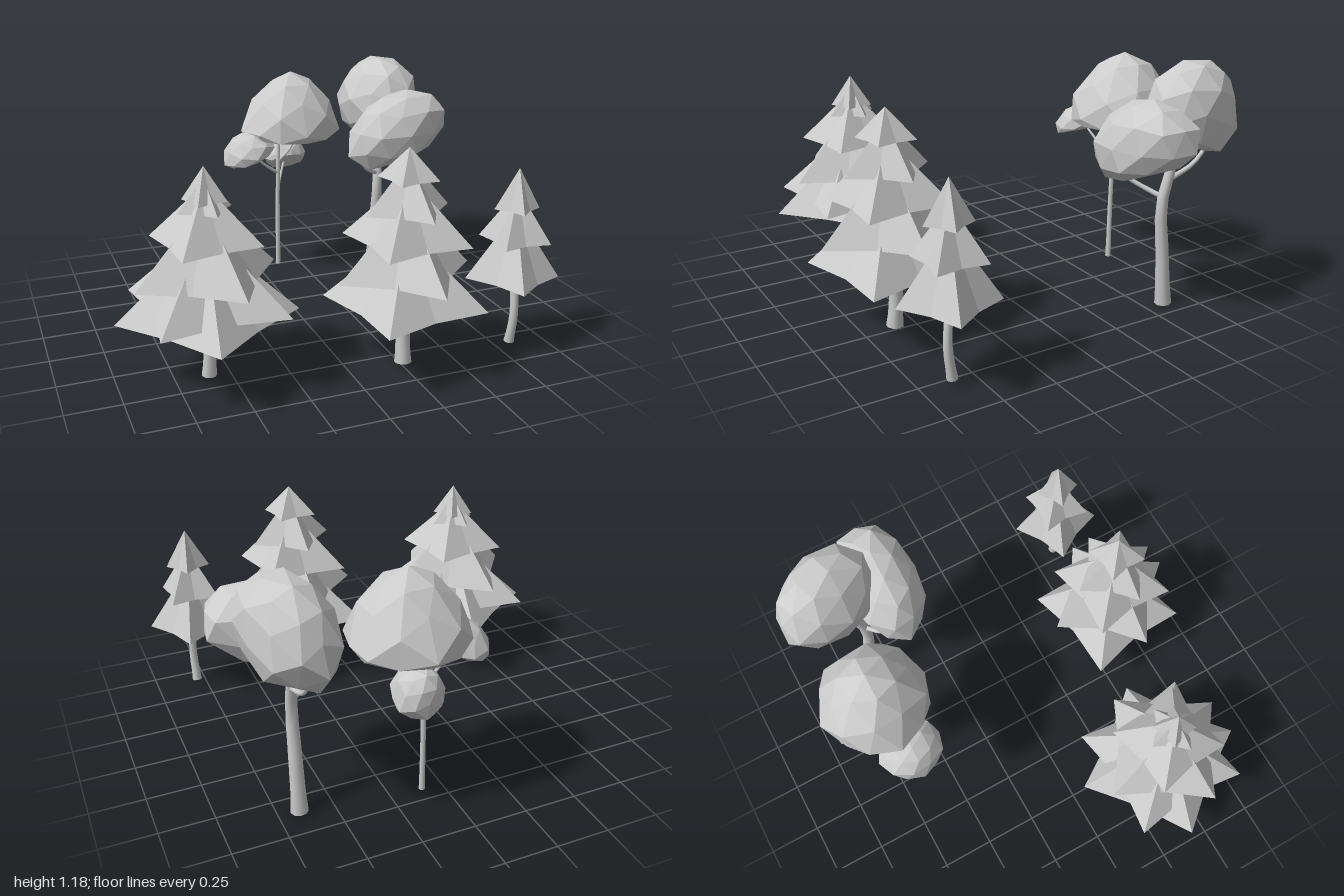
import * as THREE from 'three';

const flat = new THREE.MeshStandardMaterial({ color: 0xcccccc, flatShading: true });
const smooth = new THREE.MeshStandardMaterial({ color: 0xcccccc });
const V = (p) => new THREE.Vector3(...p);

function add(parent, geometry, material, name) {
  const mesh = new THREE.Mesh(geometry, material);
  mesh.name = name;
  parent.add(mesh);
  return mesh;
}

// Tapered, bent limb through a few points, with a cap on its base
function limb(parent, name, points, r0, r1, capped = true) {
  const curve = new THREE.CatmullRomCurve3(points.map(V));
  const rings = 8, sides = 9;
  const geo = new THREE.TubeGeometry(curve, rings, 1, sides, false);
  const pos = geo.attributes.position, v = new THREE.Vector3();
  for (let i = 0; i <= rings; i++) {
    const t = i / rings, c = curve.getPointAt(t);
    const flare = capped && i === 0 ? 1.12 : 1;
    const r = THREE.MathUtils.lerp(r0, r1, t) * flare;
    for (let j = 0; j <= sides; j++) {
      const k = i * (sides + 1) + j;
      v.fromBufferAttribute(pos, k).sub(c).multiplyScalar(r).add(c);
      pos.setXYZ(k, v.x, v.y, v.z);
    }
  }
  add(parent, geo, smooth, name);
  if (capped) {
    const cap = add(parent, new THREE.CircleGeometry(r0 * 1.12, sides), flat, name + 'Base');
    cap.position.copy(V(points[0]));
    cap.rotation.x = Math.PI / 2;
  }
}

// Four-tipped star cone with a flat base; phase in degrees from +x towards +z
function tier(parent, cx, cz, { y, top, r, phase, valley = 0.6 }) {
  const ring = Array.from({ length: 8 }, (_, i) => {
    const t = THREE.MathUtils.degToRad(phase + i * 45);
    const radius = i % 2 ? r * valley : r;
    return [cx + radius * Math.cos(t), y, cz + radius * Math.sin(t)];
  });
  const verts = [];
  ring.forEach((p, i) => {
    const q = ring[(i + 1) % ring.length];
    verts.push(cx, top, cz, ...q, ...p);
    verts.push(cx, y, cz, ...p, ...q);
  });
  const geo = new THREE.BufferGeometry();
  geo.setAttribute('position', new THREE.Float32BufferAttribute(verts, 3));
  geo.computeVertexNormals();
  add(parent, geo, flat, 'needleTier');
}

function pine(name, x, z, trunk, radius, tiers) {
  const g = new THREE.Group();
  g.name = name;
  limb(g, 'trunk', trunk, radius, radius * 0.75);
  tiers.forEach((t) => tier(g, x, z, t));
  return g;
}

// Faceted leaf clump: squashed ball, flattened below and narrowed towards the top
function clump(parent, name, center, radii, { tilt = [0, 0, 0], floor, peak }) {
  const geo = new THREE.IcosahedronGeometry(1, 1);
  const pos = geo.attributes.position;
  for (let i = 0; i < pos.count; i++) {
    const x = pos.getX(i), y = pos.getY(i), z = pos.getZ(i);
    const bump = 1 + 0.05 * Math.sin(5 * x + 3 * y + 4 * z);
    const width = bump * (1 - peak * Math.max(0, y) * 0.5);
    pos.setXYZ(i, x * width, Math.max(y, floor + 0.05 * y), z * width);
  }
  geo.scale(...radii);
  geo.computeVertexNormals();
  const mesh = add(parent, geo, flat, name);
  mesh.position.set(...center);
  mesh.rotation.set(...tilt);
}

export function createModel() {
  const model = new THREE.Group();
  model.name = 'treeGrove';

  // Wide pine
  model.add(pine('widePine', -0.6, 0.42,
    [[-0.605, 0.02, 0.42], [-0.598, 0.18, 0.42], [-0.61, 0.4, 0.42]], 0.031, [
      { y: 0.3, top: 0.68, r: 0.402, phase: 8, valley: 0.66 },
      { y: 0.36, top: 0.72, r: 0.4, phase: 43 },
      { y: 0.49, top: 0.83, r: 0.34, phase: -14, valley: 0.64 },
      { y: 0.65, top: 0.9, r: 0.26, phase: 36, valley: 0.64 },
      { y: 0.79, top: 0.93, r: 0.125, phase: -10 },
      { y: 0.83, top: 0.98, r: 0.1, phase: 30 },
    ]));

  // Tall pine
  model.add(pine('tallPine', 0.24, 0.62,
    [[0.25, 0.02, 0.61], [0.25, 0.18, 0.6], [0.245, 0.4, 0.63]], 0.036, [
      { y: 0.31, top: 0.66, r: 0.37, phase: 35.5, valley: 0.62 },
      { y: 0.46, top: 0.8, r: 0.327, phase: -5 },
      { y: 0.61, top: 0.9, r: 0.29, phase: 40 },
      { y: 0.75, top: 0.98, r: 0.208, phase: -6 },
      { y: 0.89, top: 1.03, r: 0.135, phase: 38 },
    ]));

  // Small pine
  model.add(pine('smallPine', 0.79, 0.62,
    [[0.8, 0.03, 0.62], [0.803, 0.18, 0.64], [0.795, 0.42, 0.62]], 0.022, [
      { y: 0.355, top: 0.68, r: 0.217, phase: 18, valley: 0.62 },
      { y: 0.54, top: 0.78, r: 0.165, phase: -45, valley: 0.58 },
      { y: 0.69, top: 0.88, r: 0.105, phase: 14 },
    ]));

  // Thick leafy tree
  const thick = new THREE.Group();
  thick.name = 'thickLeafyTree';
  limb(thick, 'trunk', [[0.655, 0, -0.605], [0.655, 0.28, -0.58], [0.655, 0.5, -0.56], [0.66, 0.66, -0.595], [0.66, 0.86, -0.63]], 0.036, 0.02);
  limb(thick, 'frontBranch', [[0.655, 0.54, -0.565], [0.59, 0.57, -0.52], [0.52, 0.63, -0.45], [0.5, 0.74, -0.42]], 0.013, 0.008, false);
  limb(thick, 'backBranch', [[0.66, 0.62, -0.59], [0.66, 0.68, -0.74], [0.66, 0.82, -0.86]], 0.013, 0.008, false);
  clump(thick, 'upperLeaves', [0.69, 0.935, -0.67], [0.185, 0.245, 0.275], { tilt: [-0.4, 0.28, 0], floor: -0.55, peak: 0.15 });
  clump(thick, 'frontLeaves', [0.69, 0.825, -0.405], [0.295, 0.2, 0.185], { tilt: [0, 0, 0.43], floor: -0.65, peak: 0.2 });
  model.add(thick);

  // Slim leafy tree
  const slim = new THREE.Group();
  slim.name = 'slimLeafyTree';
  limb(slim, 'trunk', [[0.11, 0.02, -0.7], [0.11, 0.4, -0.7], [0.12, 0.84, -0.7]], 0.013, 0.01);
  limb(slim, 'sideBranch', [[0.11, 0.56, -0.7], [0.04, 0.61, -0.68], [-0.06, 0.7, -0.65]], 0.009, 0.005, false);
  limb(slim, 'backBranch', [[0.11, 0.46, -0.7], [0.15, 0.53, -0.76], [0.2, 0.62, -0.82]], 0.009, 0.005, false);
  limb(slim, 'topBranch', [[0.11, 0.62, -0.7], [0.18, 0.7, -0.68], [0.22, 0.82, -0.66]], 0.008, 0.005, false);
  clump(slim, 'mainLeaves', [0.185, 0.815, -0.69], [0.27, 0.305, 0.265], { floor: -0.1, peak: 0.5 });
  clump(slim, 'sideLeaves', [-0.065, 0.7, -0.65], [0.145, 0.12, 0.155], { tilt: [0, 0, 0.36], floor: -0.12, peak: 0.2 });
  clump(slim, 'backLeaves', [0.2, 0.61, -0.815], [0.115, 0.15, 0.12], { tilt: [-0.6, 0, 0], floor: -0.15, peak: 0.2 });
  model.add(slim);

  return model;
}
